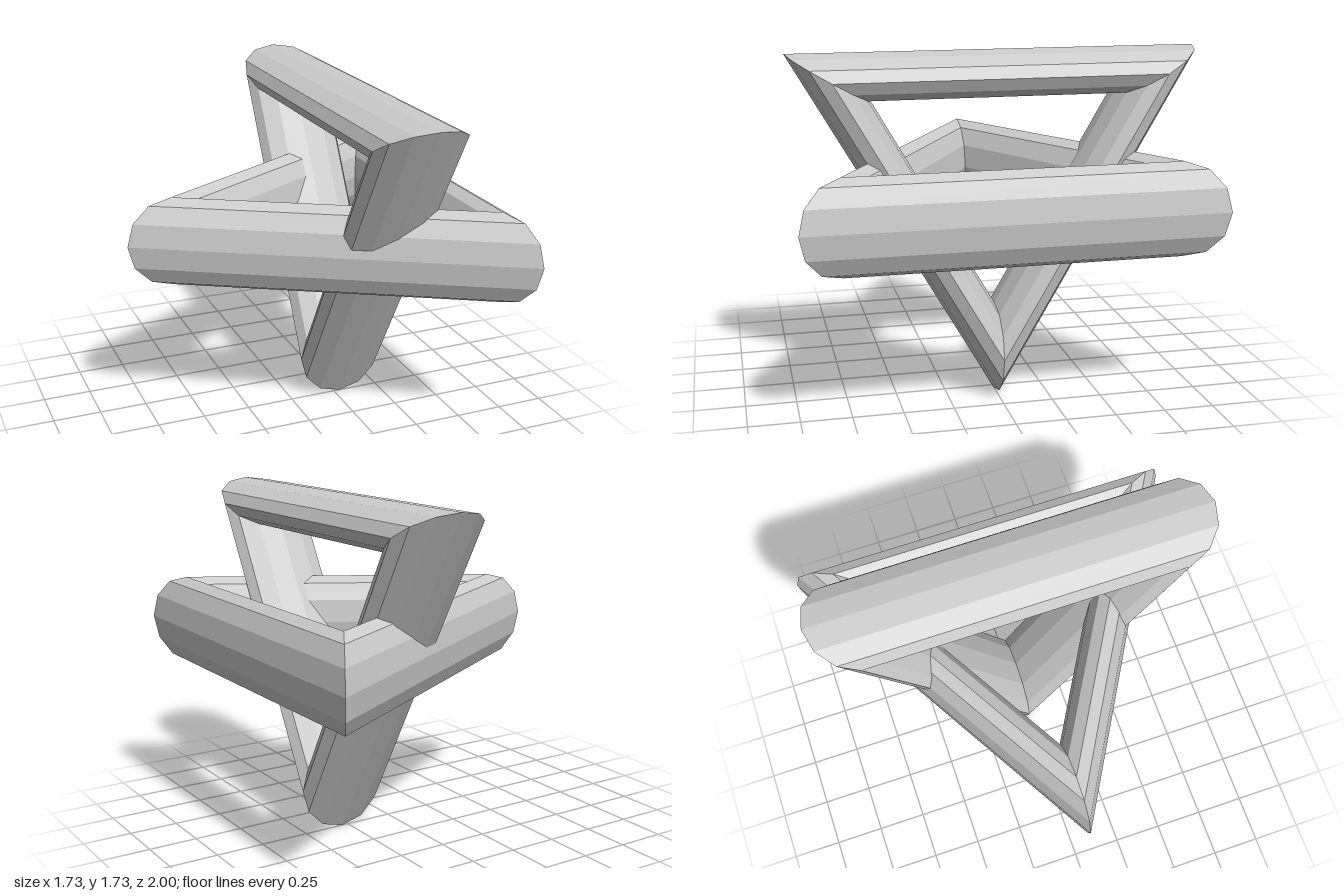
import * as THREE from 'three';

const TUBE = 0.23;
const CORNER = 2 / Math.sqrt(3); // centre to outer corner, for a side of 2

export function createModel() {
  const model = new THREE.Group();
  model.name = 'interlockedTriangles';
  const grey = new THREE.MeshStandardMaterial({ color: 0xcccccc, flatShading: true });
  grey.name = 'light grey';

  // A three-sided ring with mitred corners, its first corner turned by spin
  const addTriangle = (name, spin, orient, x, y) => {
    const geometry = new THREE.TorusGeometry(CORNER - TUBE, TUBE, 12, 3).rotateZ(spin);
    orient(geometry);
    const mesh = new THREE.Mesh(geometry, grey);
    mesh.name = name;
    mesh.position.set(x, y, 0);
    model.add(mesh);
  };

  // Lying ring points to -x, standing ring points down
  addTriangle('lyingTriangle', Math.PI, (g) => g.rotateX(Math.PI / 2), CORNER / 4, 1.012);
  addTriangle('standingTriangle', -Math.PI / 2, (g) => g.rotateY(Math.PI / 2), 0.285, CORNER);
  return model;
}
